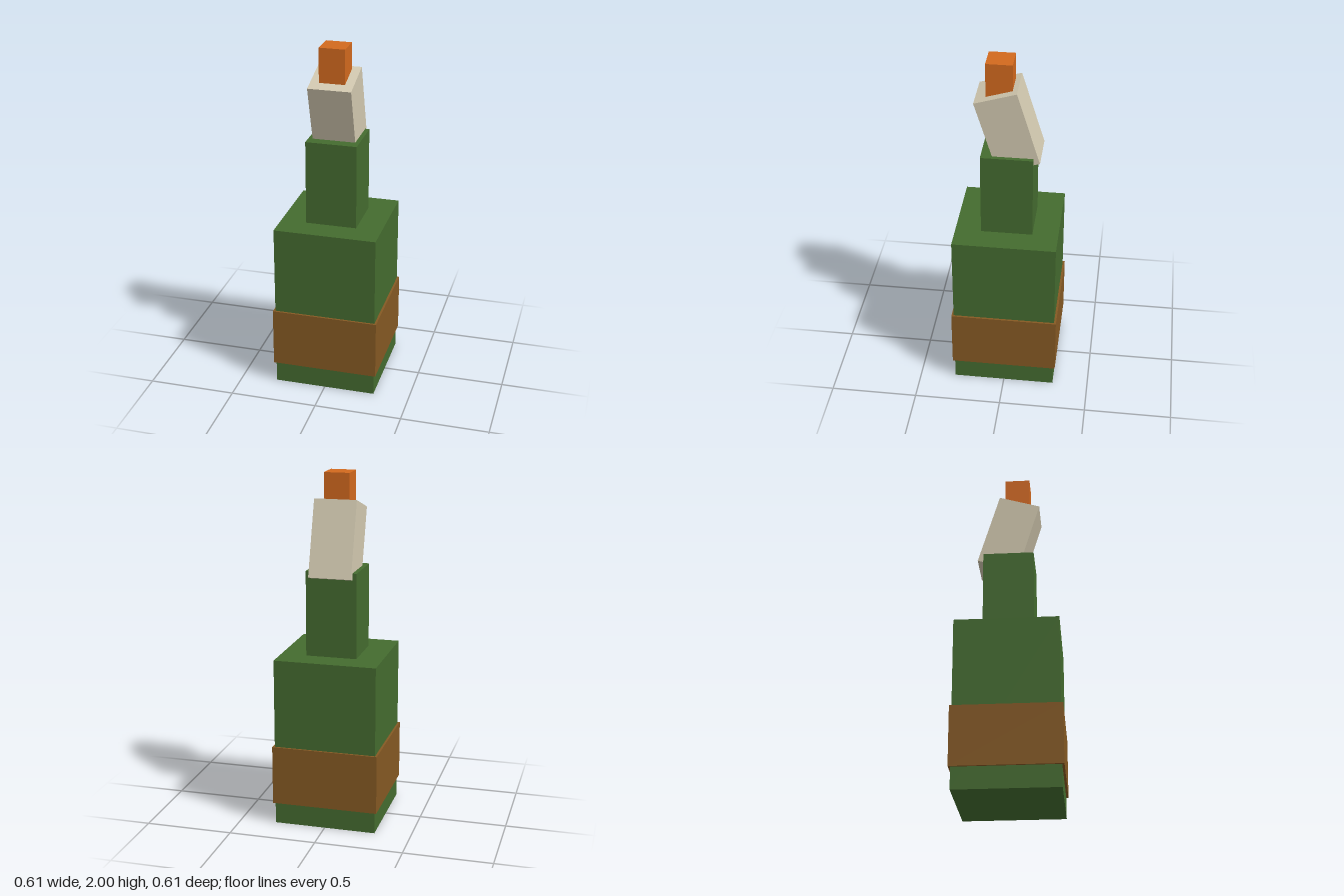
import * as THREE from 'three';

function material(name, color) {
  const m = new THREE.MeshStandardMaterial({ color });
  m.name = name;
  return m;
}

export function createModel() {
  const model = new THREE.Group();
  model.name = 'fireBottle';
  const glass = material('green glass', 0x446b2f);
  const label = material('brown label', 0x855923);
  const cloth = material('beige cloth', 0xd2c9b0);
  const fire = material('orange flame', 0xd2691e);

  // Square block of a given width, spanning y0 to y1
  function block(name, mat, width, y0, y1, z = 0) {
    const mesh = new THREE.Mesh(new THREE.BoxGeometry(width, y1 - y0, width), mat);
    mesh.name = name;
    mesh.position.set(0, (y0 + y1) / 2, z);
    model.add(mesh);
    return mesh;
  }

  // Bottle
  block('bottleBody', glass, 0.586, 0, 0.977);
  block('bottleNeck', glass, 0.292, 0.977, 1.465);
  block('labelBand', label, 0.61, 0.125, 0.466);

  // Rag leaning forward out of the neck
  block('rag', cloth, 0.244, 1.391, 1.831).rotation.x = 0.295;

  // Flame sunk into the top of the rag
  block('flame', fire, 0.146, 1.76, 2, 0.048);

  return model;
}
